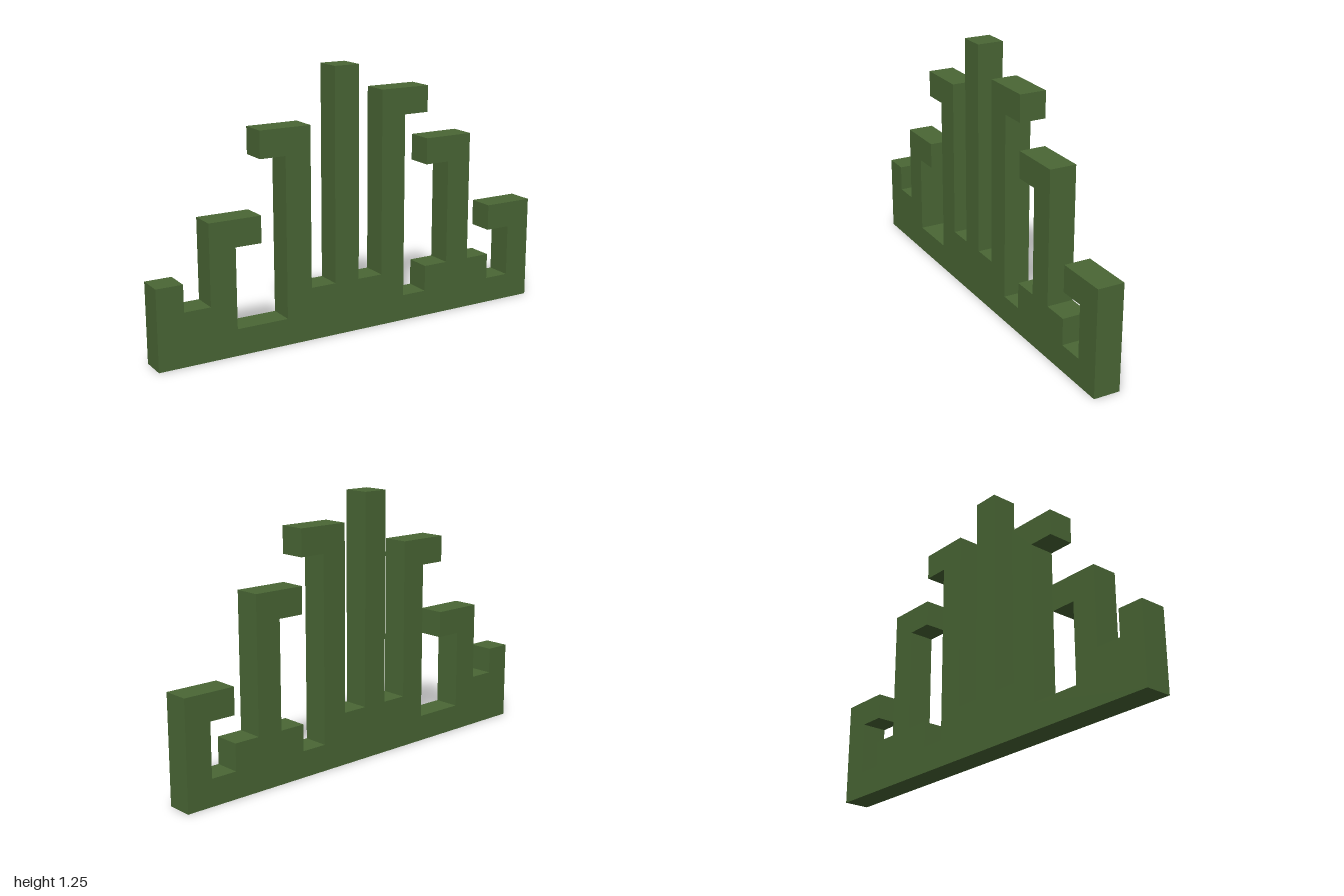
import * as THREE from 'three';

const U = 0.125; // grid cell; the piece is 16 cells wide, 10 high, 1 deep

export function createModel() {
  const group = new THREE.Group();
  group.name = 'stalkSilhouette';

  const green = new THREE.MeshStandardMaterial({ color: 0x4a6735 });
  green.name = 'leaf green';

  // Stepped outline in cells, counter-clockwise from the lower left corner
  const outline = [
    [0, 0], [16, 0],
    [16, 4], [14, 4], [14, 3], [15, 3], [15, 1], [14, 1], [14, 2], // low hook
    [13, 2], [13, 7], [11, 7], [11, 6], [12, 6], [12, 2], [11, 2], [11, 1], // middle hook
    [10, 1], [10, 8], [11, 8], [11, 9], [9, 9], [9, 2], // tall hook
    [8, 2], [8, 10], [7, 10], [7, 2], // central post
    [6, 2], [6, 8], [4, 8], [4, 7], [5, 7], [5, 1], // tall hook, other side
    [3, 1], [3, 4], [4, 4], [4, 5], [2, 5], [2, 2], // low hook, other side
    [1, 2], [1, 3], [0, 3], // end stub
  ].map(([x, y]) => new THREE.Vector2((x - 8) * U, y * U));

  const geometry = new THREE.ExtrudeGeometry(new THREE.Shape(outline), {
    depth: U,
    bevelEnabled: false,
  });
  geometry.translate(0, 0, -U / 2);

  const body = new THREE.Mesh(geometry, green);
  body.name = 'baseWithStalks';
  group.add(body);
  return group;
}
